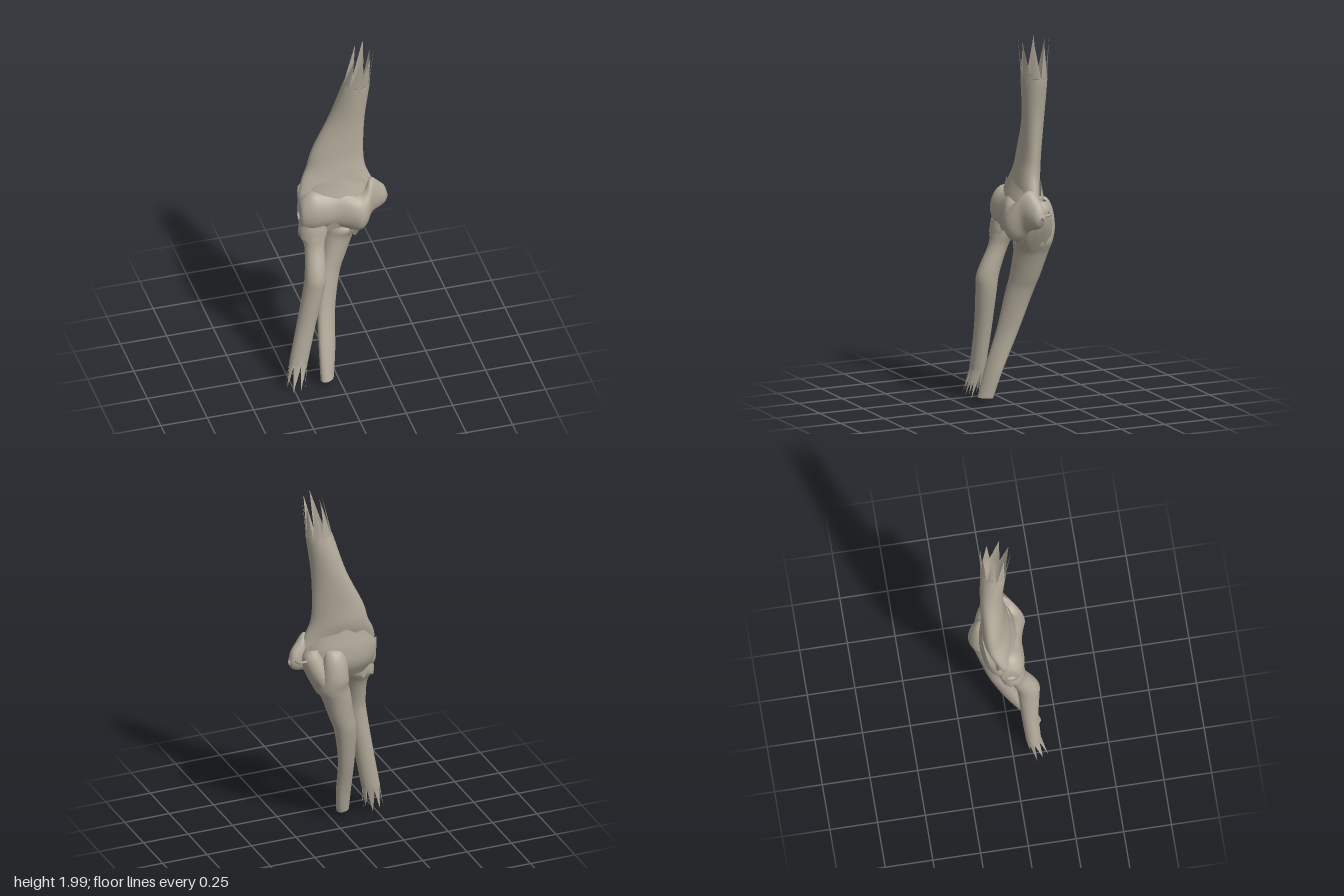
import * as THREE from 'three';

const bone = new THREE.MeshStandardMaterial({ color: 0xb3ab9b, side: THREE.DoubleSide });
bone.name = 'bone';

const SEG = 24;

// Point on a slanted elliptical section: row = [along, centreA, centreB, radiusA, radiusB, slant]
function sectionPoint(row, angle, axis) {
  const a = row[1] + Math.cos(angle) * row[3];
  const b = row[2] + Math.sin(angle + row[5]) * row[4];
  return axis === 'x' ? [row[0], a, b] : [a, row[0], b];
}

// Smooth loft through elliptical rows; optional splintered tip or uneven last rim
function loft(name, rows, { axis = 'y', tip = null, rim = null, steps = 5 } = {}) {
  const curve = pick => new THREE.CatmullRomCurve3(rows.map(pick), false, 'catmullrom', 0.5);
  const centres = curve(r => new THREE.Vector3(r[0], r[1], r[2]));
  const radii = curve(r => new THREE.Vector3(r[3], r[4], r[5] ?? 0));
  const count = (rows.length - 1) * steps;
  const pos = [], idx = [];
  for (let i = 0; i <= count; i++) {
    const c = centres.getPoint(i / count), r = radii.getPoint(i / count);
    const row = [c.x, c.y, c.z, Math.max(r.x, 0.001), Math.max(r.y, 0.001), r.z];
    for (let j = 0; j < SEG; j++) {
      const angle = j / SEG * Math.PI * 2;
      const p = sectionPoint(row, angle, axis);
      if (rim) p[1] += rim(angle, j) * Math.pow(i / count, 3);
      pos.push(...p);
      if (i < count) {
        const k = (j + 1) % SEG, a = i * SEG, b = a + SEG;
        idx.push(a + j, b + j, a + k, a + k, b + j, b + k);
      }
    }
  }
  // Long pointed splinters around the broken end
  if (tip) {
    const last = rows[rows.length - 1], base = count * SEG;
    for (let j = 0; j < SEG; j += 3) {
      const angle = (j + 1.5) / SEG * Math.PI * 2;
      const reach = [1, 0.9, 0.98, 0.82][(j / 3) % 4];
      const row = tip.map((v, n) => last[n] + (v - last[n]) * reach);
      idx.push(base + j, pos.length / 3, base + (j + 3) % SEG);
      idx.push(base + j, base + (j + 3) % SEG, base + j + 1);
      idx.push(base + j + 1, base + (j + 3) % SEG, base + j + 2);
      pos.push(...sectionPoint(row, angle, axis));
    }
  }
  const geo = new THREE.BufferGeometry();
  geo.setAttribute('position', new THREE.Float32BufferAttribute(pos, 3));
  geo.setIndex(idx);
  geo.computeVertexNormals();
  const mesh = new THREE.Mesh(geo, bone);
  mesh.name = name;
  return mesh;
}

export function createModel() {
  const model = new THREE.Group();
  model.name = 'elbowJoint';

  // Upper arm bone, flaring from the splintered shaft to the elbow
  model.add(loft('upperArmBone', [
    [1.0, 0.04, -0.01, 0.17, 0.045],
    [1.1, 0.03, -0.02, 0.205, 0.06, 0.15],
    [1.18, 0.025, -0.035, 0.185, 0.068, 0.3],
    [1.26, 0.03, -0.052, 0.15, 0.073, 0.4],
    [1.36, 0.042, -0.06, 0.131, 0.066, 0.4],
    [1.56, 0.092, -0.06, 0.089, 0.064, 0.3],
    [1.78, 0.14, -0.043, 0.073, 0.066, -0.1],
  ], { tip: [2.0, 0.172, -0.025, 0.051, 0.083, -0.1] }));

  // Rounded joint surface with the inner knob on the +x side
  model.add(loft('jointSpool', [
    [-0.185, 1.02, 0, 0.02, 0.02],
    [-0.175, 1.03, 0, 0.08, 0.055],
    [-0.12, 1.045, 0.005, 0.115, 0.075],
    [-0.05, 1.045, 0.01, 0.108, 0.075],
    [0, 1.045, 0.01, 0.112, 0.075],
    [0.06, 1.035, 0.02, 0.118, 0.08],
    [0.12, 1.015, 0.04, 0.108, 0.08],
    [0.16, 1.035, 0.036, 0.108, 0.07],
    [0.2, 1.085, 0.012, 0.108, 0.052],
    [0.25, 1.07, -0.005, 0.076, 0.042],
    [0.28, 1.06, -0.012, 0.05, 0.03],
    [0.295, 1.05, -0.015, 0.015, 0.012],
  ], { axis: 'x' }));

  // Ragged sleeve of tissue hugging the bone, rising to a peak at front and back
  model.add(loft('jointCapsule', [
    [0.94, -0.01, -0.01, 0.13, 0.07],
    [1.02, 0.01, -0.025, 0.182, 0.105, 0.1],
    [1.09, 0.017, -0.037, 0.192, 0.102, 0.2],
    [1.13, 0.017, -0.044, 0.188, 0.082, 0.3],
  ], { rim: (a, j) => 0.1 * Math.sin(a) ** 2 + [0, 0.012, -0.014, 0.006, -0.008][j % 5] }));

  // Inner side ligament, bridging the knob and the inner forearm bone
  model.add(loft('innerLigament', [
    [1.13, 0.185, -0.055, 0.03, 0.035],
    [1.08, 0.18, -0.055, 0.055, 0.06],
    [1.0, 0.15, -0.05, 0.072, 0.088],
    [0.92, 0.118, -0.05, 0.068, 0.097],
    [0.85, 0.095, -0.06, 0.052, 0.08],
  ], { rim: (a, j) => [0, 0.016, -0.012, 0.022, -0.01][j % 5] }));

  // Inner forearm bone: hooked point behind the joint, tapering down to an open end
  model.add(loft('innerForearmBone', [
    [1.13, 0.08, -0.1, 0.012, 0.012],
    [1.115, 0.08, -0.105, 0.045, 0.04],
    [1.06, 0.08, -0.115, 0.063, 0.057],
    [0.97, 0.08, -0.115, 0.073, 0.069],
    [0.9, 0.078, -0.07, 0.09, 0.1, -0.1],
    [0.83, 0.052, -0.067, 0.083, 0.085, -0.2],
    [0.7, 0.015, -0.05, 0.072, 0.07, -0.3],
    [0.6, -0.015, -0.03, 0.065, 0.062, -0.35],
    [0.4, -0.043, 0.022, 0.053, 0.048, -0.45],
    [0.2, -0.058, 0.092, 0.048, 0.039, -0.45],
    [0.05, -0.07, 0.135, 0.038, 0.036, -0.35],
  ]));

  // Outer forearm bone: disc-like head, narrow neck, splintered lower end
  model.add(loft('outerForearmBone', [
    [0.97, -0.11, 0.01, 0.02, 0.02],
    [0.96, -0.11, 0.01, 0.07, 0.062],
    [0.91, -0.112, 0.015, 0.073, 0.065],
    [0.84, -0.112, 0.042, 0.053, 0.052],
    [0.7, -0.122, 0.094, 0.055, 0.06],
    [0.6, -0.134, 0.1, 0.056, 0.055],
    [0.4, -0.172, 0.1, 0.051, 0.045],
    [0.17, -0.217, 0.11, 0.05, 0.04, 0],
  ], { tip: [0.015, -0.246, 0.138, 0.054, 0.046, 0] }));

  // Torn collar around the head of the outer bone
  model.add(loft('headCollar', [
    [0.98, -0.105, 0.008, 0.077, 0.068],
    [0.94, -0.108, 0.012, 0.08, 0.07],
    [0.905, -0.11, 0.015, 0.079, 0.069],
  ], { rim: (a, j) => [0, 0.015, 0.03, -0.012, 0.006][j % 5] + 0.015 * Math.cos(a) }));

  // Thin loop of tissue behind the inner knob
  const strand = new THREE.CatmullRomCurve3([
    [0.2, 1.07, -0.075], [0.235, 1.075, -0.088], [0.262, 1.07, -0.08], [0.268, 1.065, -0.05], [0.255, 1.06, -0.02],
  ].map(p => new THREE.Vector3(...p)));
  const loop = new THREE.Mesh(new THREE.TubeGeometry(strand, 20, 0.007, 6), bone);
  loop.name = 'tissueLoop';
  model.add(loop);

  return model;
}
